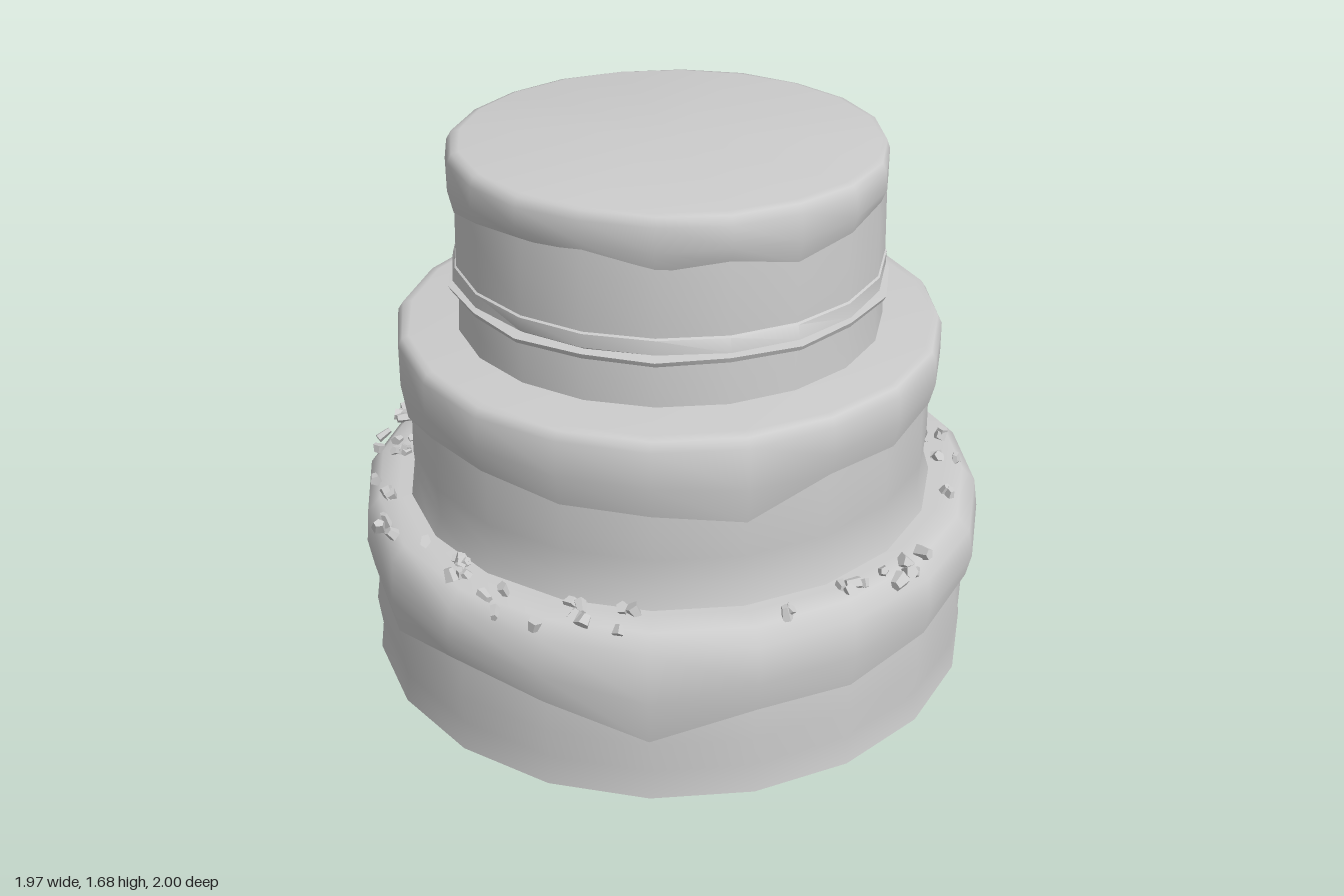
import * as THREE from 'three';
import { toCreasedNormals } from 'three/addons/utils/BufferGeometryUtils.js';

const SIDES = 20;
const material = new THREE.MeshStandardMaterial({ color: 0xcccccc, side: THREE.DoubleSide });

// Small seeded generator for the crumbs
let seed = 7;
const rand = () => {
  seed = (seed * 16807) % 2147483647;
  return seed / 2147483647;
};

// Skin closed rings from top to bottom; each row maps a side index to [radius, y]
function ringSurface(name, rows, crease = 0.95) {
  const pos = [], index = [];
  rows.forEach((row) => {
    for (let i = 0; i < SIDES; i++) {
      const a = (i / SIDES) * Math.PI * 2;
      const [r, y] = typeof row === 'function' ? row(i, a) : row;
      pos.push(Math.sin(a) * r, y, Math.cos(a) * r);
    }
  });
  for (let j = 0; j < rows.length - 1; j++) {
    for (let i = 0; i < SIDES; i++) {
      const a = j * SIDES + i, d = j * SIDES + ((i + 1) % SIDES);
      index.push(a, a + SIDES, d + SIDES, a, d + SIDES, d);
    }
  }
  const g = new THREE.BufferGeometry();
  g.setAttribute('position', new THREE.Float32BufferAttribute(pos, 3));
  g.setIndex(index);
  const mesh = new THREE.Mesh(toCreasedNormals(g, crease), material);
  mesh.name = name;
  return mesh;
}

// Icing cap: flat top, soft shoulder, bulging side and a wavy dripping hem
function icing(name, { top, r, inner, drips, shoulder, drop }) {
  const wobble = (i, a) => 0.008 * Math.sin(3 * a + r * 9) + 0.006 * Math.sin(7 * a);
  return ringSurface(name, [
    [0.001, top],
    [r - shoulder * 2.2, top],
    (i, a) => [r - shoulder + wobble(i, a) * 0.5, top - drop * 0.15],
    (i, a) => [r - shoulder * 0.25 + wobble(i, a) * 0.7, top - drop],
    (i, a) => [r + wobble(i, a), THREE.MathUtils.lerp(top - drop, drips[i], 0.5)],
    (i, a) => [r - 0.015 + wobble(i, a), drips[i] + 0.015],
    (i) => [inner - 0.02, drips[i] + 0.02],
  ], 1.2);
}

export function createModel() {
  const cake = new THREE.Group();
  cake.name = 'tieredCake';

  // Bottom tier
  const bottom = new THREE.Group();
  bottom.name = 'bottomTier';
  bottom.add(
    ringSurface('bottomSponge', [
      [0.94, 0.45], [0.945, 0.32], [0.96, 0.22], [0.95, 0.12], [0.962, 0.03], [0.92, 0.005], [0.001, 0],
    ], 1.1),
    icing('bottomIcing', {
      top: 0.595, r: 0.985, inner: 0.95, shoulder: 0.055, drop: 0.05,
      drips: [.23, .32, .30, .34, .37, .36, .25, .33, .36, .30, .33, .36, .27, .30, .35, .33, .33, .28, .36, .32],
    }),
  );

  // Middle tier
  const middle = new THREE.Group();
  middle.name = 'middleTier';
  middle.position.z = 0.02;
  middle.add(
    ringSurface('middleSponge', [
      [0.79, 1.05], [0.80, 0.9], [0.805, 0.75], [0.80, 0.66], [0.825, 0.58],
    ]),
    icing('middleIcing', {
      top: 1.135, r: 0.835, inner: 0.80, shoulder: 0.02, drop: 0.03,
      drips: [.89, .86, .94, .93, .95, .91, .93, .90, .83, .90, .92, .88, .94, .87, .93, .92, .85, .91, .92, .89],
    }),
  );

  // Top tier, with a thin filling ledge showing between its layers
  const upper = new THREE.Group();
  upper.name = 'topTier';
  upper.position.z = 0.015;
  upper.add(
    ringSurface('topSponge', [[0.625, 1.62], [0.635, 1.5], [0.64, 1.34]]),
    ringSurface('fillingBand', [
      [0.62, 1.345], [0.645, 1.335], (i, a) => [0.65 + 0.006 * Math.sin(3 * a), 1.295], [0.63, 1.285],
    ]),
    ringSurface('fillingLedge', [
      [0.6, 1.288],
      (i) => [i % 2 ? 0.655 : 0.668, 1.28],
      (i) => [i % 2 ? 0.65 : 0.66, 1.265],
      [0.62, 1.262],
    ]),
    ringSurface('lowerTopSponge', [[0.635, 1.28], [0.64, 1.2], [0.645, 1.12]]),
    icing('topIcing', {
      top: 1.685, r: 0.648, inner: 0.63, shoulder: 0.016, drop: 0.03,
      drips: [1.51, 1.54, 1.50, 1.53, 1.55, 1.49, 1.53, 1.51, 1.48, 1.53,
        1.51, 1.54, 1.50, 1.53, 1.51, 1.54, 1.49, 1.53, 1.55, 1.53],
    }),
  );

  // Crumbs scattered over the lowest ledge in clusters: x, z, count, spread
  const crumbs = new THREE.Group();
  crumbs.name = 'crumbs';
  const clusters = [
    [-0.25, 0.87, 5, 0.08], [-0.46, 0.82, 3, 0.05], [-0.61, 0.63, 8, 0.09], [-0.83, 0.46, 3, 0.04],
    [-0.87, 0.3, 2, 0.04], [-0.92, 0.17, 1, 0.02], [-0.9, -0.05, 9, 0.08], [-0.93, -0.25, 5, 0.06],
    [-0.82, -0.37, 4, 0.06], [-0.72, -0.52, 3, 0.05], [-0.72, -0.68, 3, 0.05], [-0.52, -0.78, 8, 0.09],
    [-0.27, -0.87, 4, 0.08], [-0.02, -0.84, 4, 0.07], [0.28, -0.9, 3, 0.06], [0.49, -0.77, 7, 0.08],
    [0.62, -0.66, 4, 0.05], [0.75, -0.5, 4, 0.06], [0.78, -0.36, 2, 0.04], [0.86, -0.15, 3, 0.05],
    [0.88, -0.05, 3, 0.04], [0.9, 0.2, 2, 0.05], [0.71, 0.58, 6, 0.07], [0.57, 0.7, 4, 0.05],
    [0.36, 0.82, 2, 0.04], [-0.04, 0.88, 3, 0.06],
  ];
  const chip = new THREE.CylinderGeometry(0.015, 0.023, 0.034, 5).toNonIndexed();
  chip.computeVertexNormals();
  const addCrumb = (x, y, z) => {
    const crumb = new THREE.Mesh(chip, material);
    crumb.name = 'crumb';
    crumb.position.set(x, y, z);
    crumb.rotation.set(rand() * 3, rand() * 6, rand() * 3);
    crumb.scale.set(0.7 + rand() * 0.5, 0.7 + rand() * 0.7, 0.6 + rand() * 0.4);
    crumbs.add(crumb);
  };
  for (const [x, z, count, spread] of clusters) {
    for (let n = 0; n < count; n++) {
      const cx = x + (rand() - 0.5) * 2 * spread, cz = z + (rand() - 0.5) * 2 * spread;
      const a = Math.atan2(cx, cz);
      const r = THREE.MathUtils.clamp(Math.hypot(cx, cz), 0.85, 0.96);
      addCrumb(Math.sin(a) * r, 0.6 - Math.max(0, r - 0.92) * 0.5, Math.cos(a) * r);
    }
  }

  // Crumbs clinging to the back rim
  for (const [angle, count] of [[3.04, 10], [2.72, 4], [2.47, 6]]) {
    for (let n = 0; n < count; n++) {
      const a = angle + (rand() - 0.5) * 0.18;
      const y = 0.47 + rand() * 0.12;
      const r = 0.982 - Math.max(0, y - 0.53) * 0.4;
      addCrumb(Math.sin(a) * r, y, Math.cos(a) * r);
    }
  }

  cake.add(bottom, middle, upper, crumbs);
  return cake;
}
